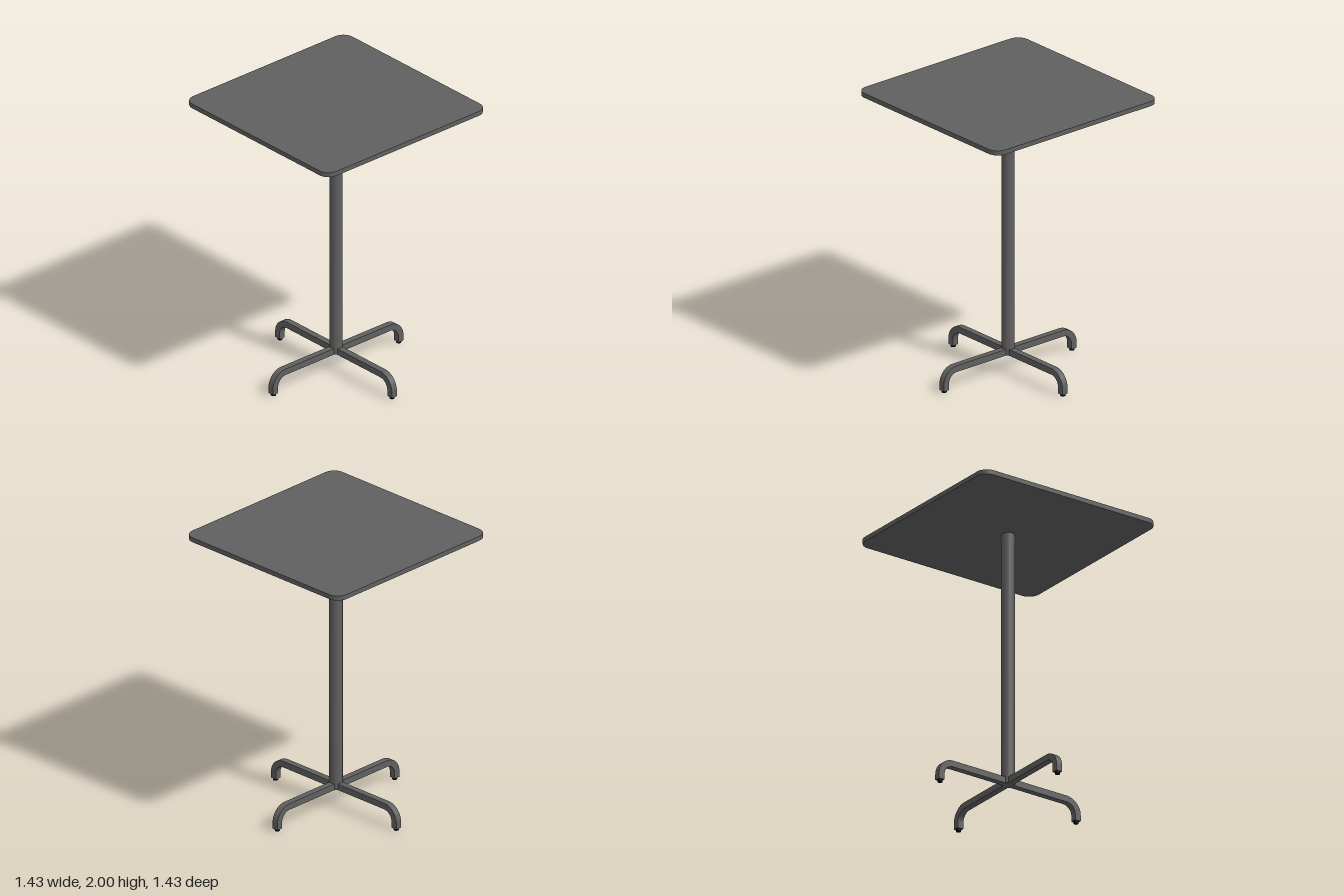
import * as THREE from 'three';
import { toCreasedNormals } from 'three/addons/utils/BufferGeometryUtils.js';

const metal = new THREE.MeshStandardMaterial({ color: 0x606060 });
const rubber = new THREE.MeshStandardMaterial({ color: 0x080808 });

function addMesh(parent, name, geometry, material) {
  const mesh = new THREE.Mesh(geometry, material);
  mesh.name = name;
  parent.add(mesh);
  return mesh;
}

// Square plate with rounded corners, its top at y = 2
function tabletopGeometry(half, r, thickness) {
  const s = new THREE.Shape();
  const c = half - r;
  s.absarc(c, c, r, 0, Math.PI / 2);
  s.absarc(-c, c, r, Math.PI / 2, Math.PI);
  s.absarc(-c, -c, r, Math.PI, Math.PI * 1.5);
  s.absarc(c, -c, r, Math.PI * 1.5, Math.PI * 2);
  s.closePath();
  const g = new THREE.ExtrudeGeometry(s, { depth: thickness, bevelEnabled: false, curveSegments: 12 });
  g.rotateX(-Math.PI / 2).translate(0, 2 - thickness, 0);
  return toCreasedNormals(g, 0.6);
}

// Square tube running out from the column and bending down to the floor
function legGeometry(reach, top, bottom, size, radius) {
  const cx = reach - radius, cy = top - radius;
  const s = new THREE.Shape();
  s.moveTo(0, top - size);
  s.lineTo(cx, top - size);
  s.absarc(cx, cy, radius - size, Math.PI / 2, 0, true);
  s.lineTo(reach - size, bottom);
  s.lineTo(reach, bottom);
  s.lineTo(reach, cy);
  s.absarc(cx, cy, radius, 0, Math.PI / 2, false);
  s.lineTo(0, top);
  s.closePath();
  const g = new THREE.ExtrudeGeometry(s, { depth: size, bevelEnabled: false, curveSegments: 12 });
  g.translate(0, 0, -size / 2);
  return toCreasedNormals(g, 0.6);
}

export function createModel() {
  const table = new THREE.Group();
  table.name = 'pedestalTable';

  addMesh(table, 'tabletop', tabletopGeometry(0.716, 0.08, 0.033), metal);

  // Central column
  const low = 0.13, high = 1.97;
  addMesh(table, 'column', new THREE.CylinderGeometry(0.045, 0.045, high - low, 40), metal)
    .position.y = (low + high) / 2;

  // Four bent legs with glides
  const size = 0.045, reach = 0.583;
  const legShape = legGeometry(reach, 0.173, 0.016, size, 0.115);
  const glideShape = new THREE.CylinderGeometry(0.019, 0.017, 0.018, 20);
  for (let i = 0; i < 4; i++) {
    const leg = new THREE.Group();
    leg.name = 'leg' + (i + 1);
    addMesh(leg, 'legTube', legShape, metal);
    addMesh(leg, 'footGlide', glideShape, rubber).position.set(reach - size / 2, 0.009, 0);
    leg.rotation.y = i * Math.PI / 2;
    table.add(leg);
  }
  return table;
}
